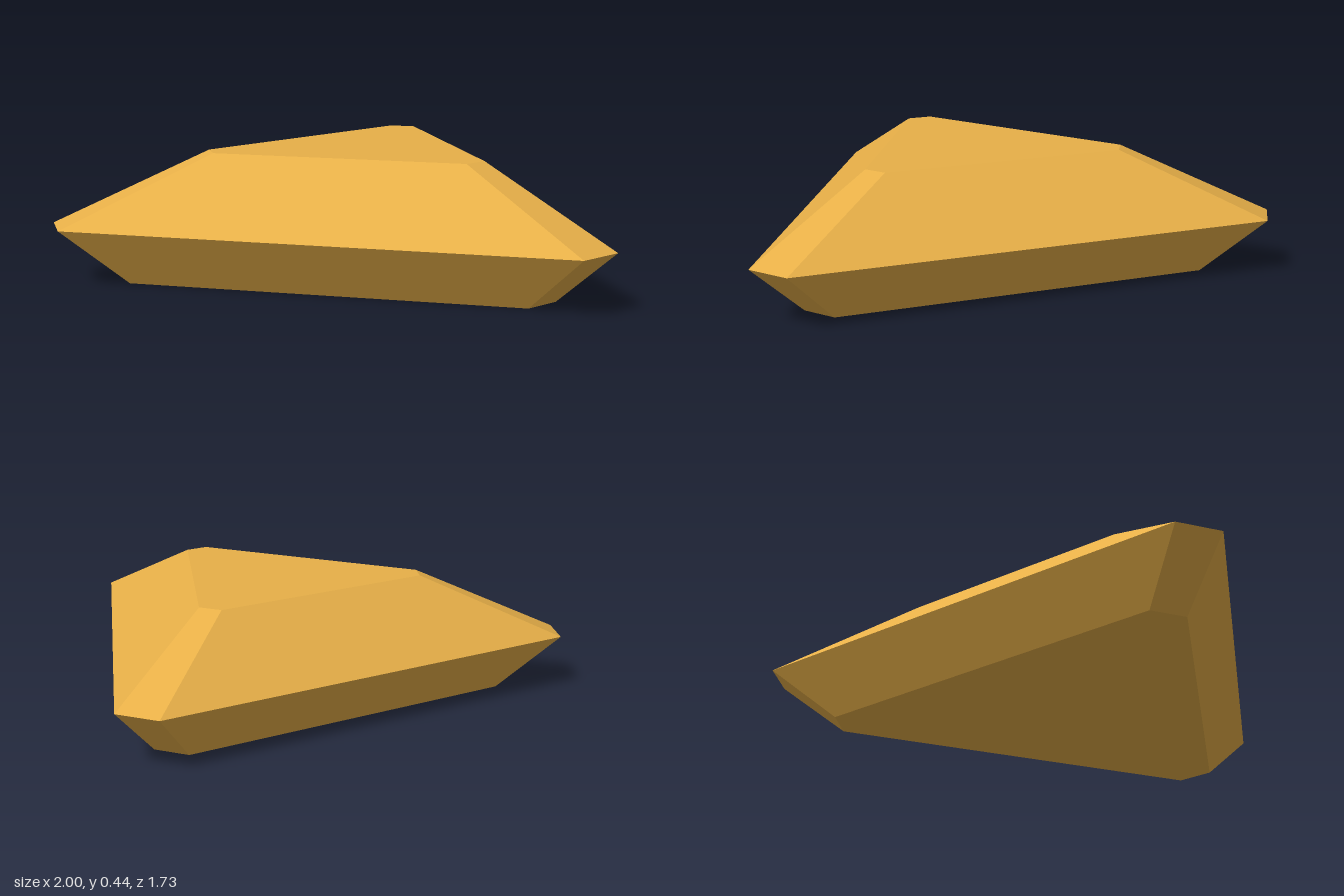
import * as THREE from 'three';

const CENTRE_Z = 0.237;

// Triangle with clipped tips: r = centre to clipped tip, w = half the clip width.
// One tip points to the back; the outline runs anticlockwise as seen from above.
function ring(y, r, w) {
  const points = [];
  for (let i = 0; i < 3; i++) {
    const a = Math.PI + (i * Math.PI * 2) / 3;
    const dx = Math.sin(a), dz = Math.cos(a);
    for (const s of [-w, w]) {
      points.push(new THREE.Vector3(r * dx + s * dz, y, CENTRE_Z + r * dz - s * dx));
    }
  }
  return points;
}

function facets(rings) {
  const pos = [];
  const tri = (...ps) => ps.forEach((p) => pos.push(p.x, p.y, p.z));
  const n = rings[0].length;
  // Sloping sides
  for (let k = 0; k < rings.length - 1; k++) {
    const lo = rings[k], hi = rings[k + 1];
    for (let i = 0; i < n; i++) {
      const j = (i + 1) % n;
      tri(lo[i], lo[j], hi[j]);
      tri(lo[i], hi[j], hi[i]);
    }
  }
  // Flat bottom and top
  const bottom = rings[0], top = rings[rings.length - 1];
  for (let i = 1; i < n - 1; i++) {
    tri(bottom[0], bottom[i + 1], bottom[i]);
    tri(top[0], top[i], top[i + 1]);
  }
  const geometry = new THREE.BufferGeometry();
  geometry.setAttribute('position', new THREE.Float32BufferAttribute(pos, 3));
  geometry.computeVertexNormals();
  return geometry;
}

export function createModel() {
  const gold = new THREE.MeshStandardMaterial({ color: 0xe8b048 });
  gold.name = 'gold';

  // Base, widest girdle and flat table
  const gem = new THREE.Mesh(
    facets([ring(0, 0.857, 0.069), ring(0.2, 1.102, 0.0866), ring(0.445, 0.552, 0.045)]),
    gold
  );
  gem.name = 'triangularGem';

  const group = new THREE.Group();
  group.name = 'cutGem';
  group.add(gem);
  return group;
}
